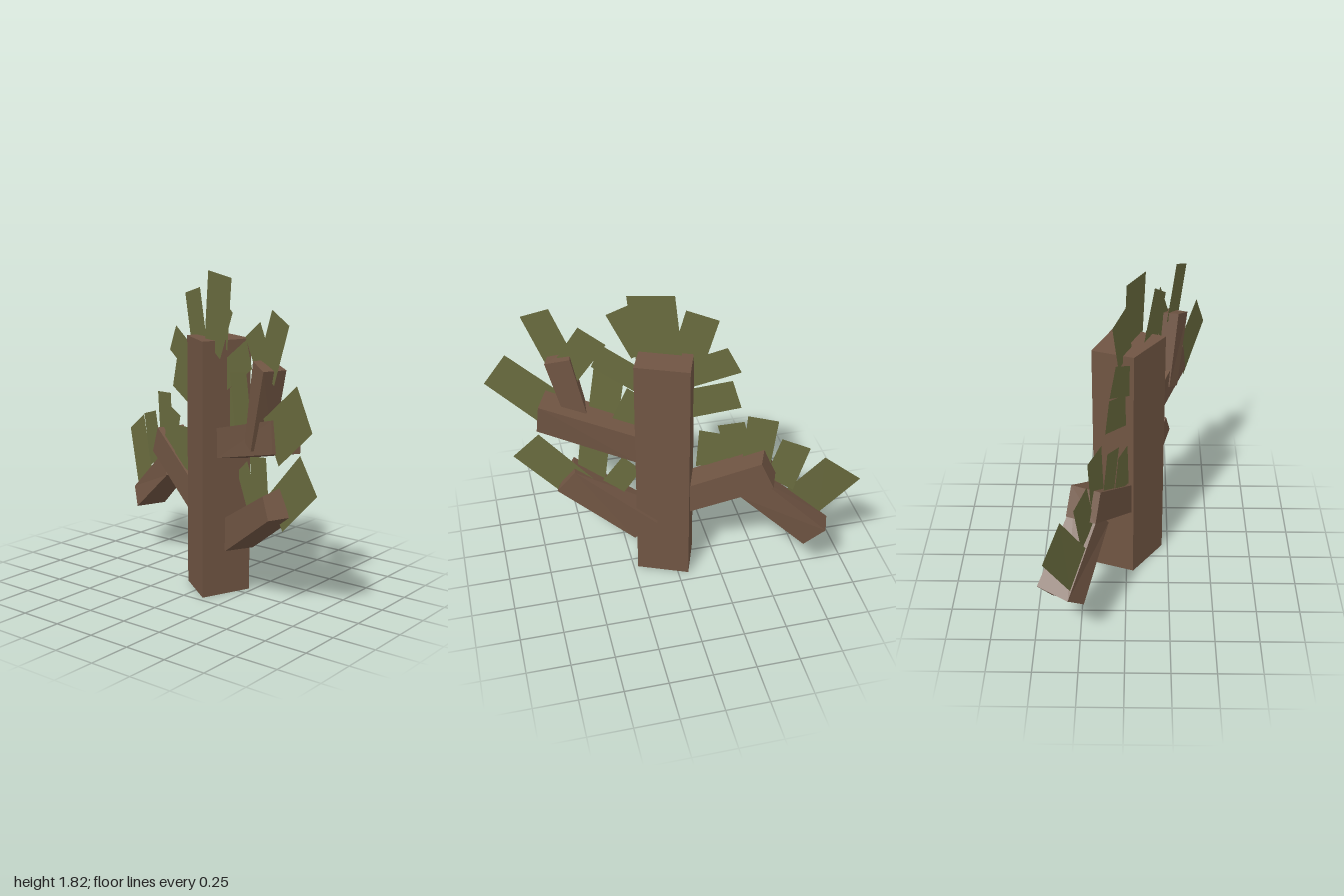
import * as THREE from 'three';

const TURN = 0.4; // the crown spreads along a plane turned about the trunk
const COS = Math.cos(TURN), SIN = Math.sin(TURN);

// Flat-sided block between a front and a back outline of four corners each
function blockGeometry(front, back) {
  const index = [0, 1, 2, 0, 2, 3, 4, 6, 5, 4, 7, 6];
  for (let i = 0; i < 4; i++) {
    const j = (i + 1) % 4;
    index.push(i, i + 4, j, j, i + 4, j + 4);
  }
  return facets([...front, ...back], index);
}

function facets(points, index) {
  const geo = new THREE.BufferGeometry();
  geo.setAttribute('position', new THREE.Float32BufferAttribute(points.flat(), 3));
  geo.setIndex(index);
  const flat = geo.toNonIndexed();
  flat.computeVertexNormals();
  return flat;
}

export function createModel() {
  const bark = new THREE.MeshStandardMaterial({ color: 0x705543 });
  bark.name = 'bark brown';
  const foliage = new THREE.MeshStandardMaterial({ color: 0x696b3e, side: THREE.DoubleSide });
  foliage.name = 'leaf green';

  const model = new THREE.Group();
  model.name = 'tree';

  // Trunk: a slightly skewed four-sided post
  const outline = [[-0.06, 0.19], [-0.14, -0.04], [0.11, -0.215], [0.225, 0.07]];
  const trunkGeo = new THREE.ExtrudeGeometry(
    new THREE.Shape(outline.map(([x, y]) => new THREE.Vector2(x, y))),
    { depth: 1.455, bevelEnabled: false });
  trunkGeo.rotateX(-Math.PI / 2);
  const trunk = new THREE.Mesh(trunkGeo, bark);
  trunk.name = 'trunk';
  model.add(trunk);

  const crown = new THREE.Group();
  crown.name = 'crown';
  crown.rotation.y = -TURN;
  model.add(crown);

  // Branches: front corners, then back corners, in the crown's own frame
  const branch = (name, front, back) => {
    const mesh = new THREE.Mesh(blockGeometry(front, back), bark);
    mesh.name = name;
    crown.add(mesh);
  };
  branch('leftLowerBranch',
    [[0.19, 0.255, 0.012], [0.646, 0.55, 0.012], [0.585, 0.67, 0.01], [0.056, 0.38, 0.01]],
    [[0.19, 0.25, -0.17], [0.646, 0.55, -0.17], [0.535, 0.697, -0.165], [0.056, 0.39, -0.175]]);
  branch('leftUpperBranch',
    [[0.18, 0.80, 0.062], [0.762, 0.94, 0.062], [0.735, 1.11, 0.055], [0.18, 0.97, 0.065]],
    [[0.18, 0.78, -0.115], [0.76, 0.925, -0.108], [0.735, 1.105, -0.125], [0.18, 0.97, -0.122]]);
  branch('leftTwig',
    [[0.49, 0.95, 0.065], [0.577, 0.92, 0.08], [0.705, 1.357, 0.085], [0.585, 1.395, 0.075]],
    [[0.455, 0.95, -0.05], [0.577, 0.92, -0.055], [0.70, 1.355, -0.055], [0.555, 1.395, -0.05]]);
  branch('rightInnerBranch',
    [[-0.53, 0.845, 0.08], [-0.60, 0.685, 0.08], [-0.05, 0.40, 0.08], [-0.05, 0.59, 0.08]],
    [[-0.53, 0.845, -0.095], [-0.605, 0.685, -0.095], [-0.05, 0.40, -0.095], [-0.05, 0.59, -0.095]]);
  branch('rightOuterBranch',
    [[-0.918, 0.385, 0.06], [-0.80, 0.285, 0.097], [-0.42, 0.57, 0.075], [-0.52, 0.68, 0.06]],
    [[-0.92, 0.43, -0.12], [-0.80, 0.285, -0.096], [-0.42, 0.58, -0.085], [-0.51, 0.74, -0.09]]);

  // Leaves: flat plates given by tip depth, base depth and four corners as they appear head-on
  const leaves = {
    topLeaf: [
      [0.008, 0.008, [-0.02, 1.82], [0.22, 1.795], [0.18, 1.40], [-0.06, 1.42]],
      [0.03, 0.03, [-0.245, 1.68], [-0.08, 1.725], [-0.01, 1.44], [-0.175, 1.40]],
      [0.075, 0.075, [0.165, 1.72], [0.315, 1.625], [0.19, 1.36], [0.03, 1.45]],
      [0.068, 0.068, [-0.30, 1.49], [-0.375, 1.34], [-0.12, 1.21], [-0.05, 1.36]],
      [0.045, 0.045, [-0.325, 1.295], [-0.375, 1.12], [-0.12, 1.02], [-0.07, 1.20]],
      [0.0, 0.0, [0.36, 1.48], [0.415, 1.33], [0.14, 1.16], [0.09, 1.31]],
    ],
    leftLeaf: [
      [-0.012, -0.012, [0.335, 1.49], [0.475, 1.585], [0.62, 1.33], [0.50, 1.22]],
      [0.03, 0.02, [0.235, 1.29], [0.395, 1.315], [0.44, 1.0], [0.28, 0.97]],
      [-0.02, -0.02, [0.10, 1.14], [0.235, 1.225], [0.32, 1.0], [0.17, 0.93]],
      [0.02, 0.02, [0.615, 1.665], [0.765, 1.60], [0.64, 1.28], [0.49, 1.35]],
      [0.048, 0.04, [0.865, 1.32], [0.995, 1.11], [0.71, 0.88], [0.57, 1.10]],
      [-0.115, -0.12, [0.735, 0.91], [0.885, 0.73], [0.58, 0.455], [0.45, 0.63]],
      [-0.047, -0.047, [0.345, 0.835], [0.50, 0.86], [0.53, 0.60], [0.38, 0.52]],
      [-0.08, -0.08, [0.28, 0.785], [0.18, 0.70], [0.30, 0.48], [0.40, 0.58]],
    ],
    rightLeaf: [
      [0.008, 0.055, [-0.81, 0.86], [-1.0, 0.735], [-0.82, 0.41], [-0.64, 0.56]],
      [0.045, 0.045, [-0.745, 0.885], [-0.595, 0.93], [-0.52, 0.65], [-0.67, 0.57]],
      [0.04, 0.04, [-0.57, 1.055], [-0.41, 1.07], [-0.39, 0.76], [-0.54, 0.74]],
      [0.065, 0.065, [-0.40, 1.01], [-0.26, 0.965], [-0.33, 0.70], [-0.46, 0.76]],
      [0.07, 0.07, [-0.28, 0.905], [-0.165, 0.915], [-0.15, 0.65], [-0.33, 0.70]],
    ],
  };
  for (const [name, list] of Object.entries(leaves)) {
    list.forEach(([tip, base, ...corners], i) => {
      const points = corners.map(([x, y], k) => {
        const depth = k < 2 ? tip : base;
        return [(x + SIN * depth) / COS, y, depth];
      });
      const leaf = new THREE.Mesh(facets(points, [0, 2, 1, 0, 3, 2]), foliage);
      leaf.name = name + (i + 1);
      crown.add(leaf);
    });
  }
  return model;
}
